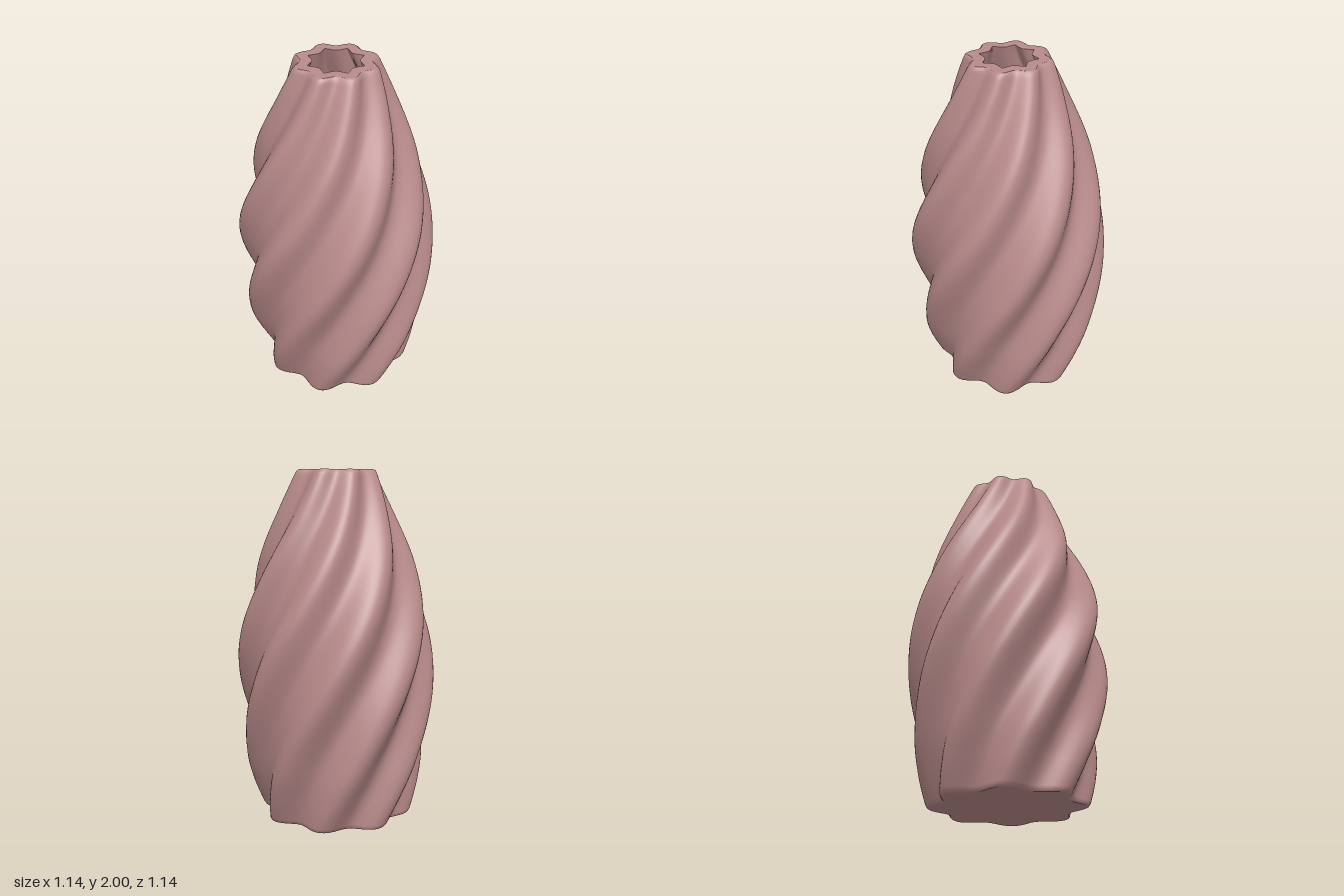
import * as THREE from 'three';

const LOBES = 8;
const COLS = 160;
const TWIST = THREE.MathUtils.degToRad(63); // turn per unit of height
const WALL = 0.075;
const FLOOR = 0.08;

// Tip radius against height
const profile = new THREE.SplineCurve([
  [0.44, 0], [0.49, 0.18], [0.53, 0.38], [0.57, 0.75], [0.553, 1.1],
  [0.46, 1.46], [0.32, 1.8], [0.235, 2],
].map(([r, y]) => new THREE.Vector2(r, y)));

const outer = (R, a) => R * (0.922 + 0.078 * Math.cos(LOBES * a));
const inner = (R, a) => R - WALL - 0.15 * R * Math.abs(Math.sin(LOBES * a / 2));

// Skin over a list of rings; every column follows the twist of the lobes
function skin(rings) {
  const pos = [], idx = [];
  for (const { y, radius } of rings) {
    for (let j = 0; j < COLS; j++) {
      const a = (j / COLS) * Math.PI * 2;
      const phi = a - TWIST * (y - 0.75);
      const r = radius(a);
      pos.push(r * Math.cos(phi), y, r * Math.sin(phi));
    }
  }
  for (let i = 0; i < rings.length - 1; i++) {
    for (let j = 0; j < COLS; j++) {
      const k = (j + 1) % COLS;
      const a = i * COLS + j, b = i * COLS + k;
      idx.push(a, a + COLS, b, b, a + COLS, b + COLS);
    }
  }
  const g = new THREE.BufferGeometry();
  g.setAttribute('position', new THREE.Float32BufferAttribute(pos, 3));
  g.setIndex(idx);
  g.computeVertexNormals();
  return g;
}

export function createModel() {
  const group = new THREE.Group();
  const clay = new THREE.MeshStandardMaterial({ color: 0xb88a8a });
  clay.name = 'dusty rose clay';

  const add = (name, rings) => {
    const mesh = new THREE.Mesh(skin(rings), clay);
    mesh.name = name;
    group.add(mesh);
  };
  const ring = (y, R, shape, inset = 0) => ({ y, radius: (a) => shape(R, a) - inset });
  const centre = (y) => ({ y, radius: () => 0 });

  // Outer body, with softened edges at foot and rim
  const body = [ring(0, 0.44, outer, 0.012), ring(0.004, 0.44, outer, 0.004)];
  const lining = [];
  const N = 90;
  for (let i = 0; i <= N; i++) {
    const p = profile.getPoint(i / N);
    if (p.y > 0.01 && p.y < 1.975) body.push(ring(p.y, p.x, outer));
    if (p.y > FLOOR + 0.005) lining.unshift(ring(p.y, p.x, inner));
  }
  body.push(ring(1.98, 0.243, outer), ring(1.993, 0.238, outer, 0.003), ring(2, 0.235, outer, 0.012));
  add('body', body);

  // Hollow inside, running from rim to floor
  lining.push(ring(FLOOR, 0.463, inner));
  add('innerWall', lining);

  // Flat faces
  add('rim', [ring(2, 0.235, outer, 0.012), ring(2, 0.235, inner)]);
  add('floor', [ring(FLOOR, 0.463, inner), centre(FLOOR)]);
  add('base', [centre(0), ring(0, 0.44, outer, 0.012)]);
  return group;
}
